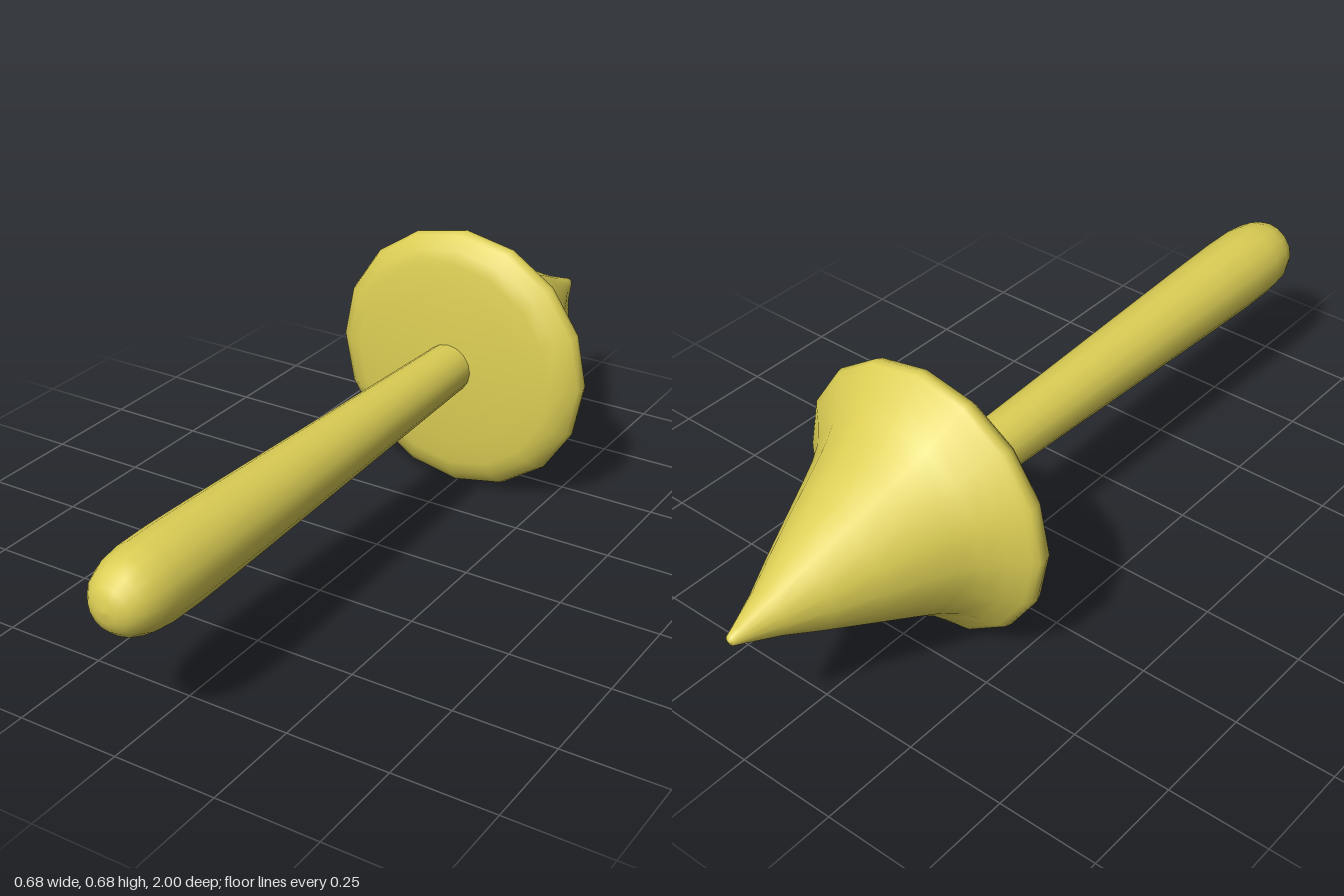
import * as THREE from 'three';

const SIDES = 16;
const AXIS_HEIGHT = 0.345;

// Turns a profile of [radius, z] pairs (z ascending) around the z axis
function turned(name, profile, material) {
  const geometry = new THREE.LatheGeometry(profile.map(([r, z]) => new THREE.Vector2(r, z)), SIDES);
  geometry.rotateX(Math.PI / 2);
  const mesh = new THREE.Mesh(geometry, material);
  mesh.name = name;
  mesh.position.y = AXIS_HEIGHT;
  return mesh;
}

export function createModel() {
  const group = new THREE.Group();
  group.name = 'mushroomPeg';
  const material = new THREE.MeshStandardMaterial({ color: 0xddcf55 });

  // Pointed cap: rounded tip, concave flank, flared rim, slightly domed underside
  const cap = [
    [0, -1], [0.012, -0.995], [0.022, -0.97], [0.055, -0.89], [0.1, -0.8], [0.15, -0.695],
    [0.195, -0.6], [0.222, -0.545], [0.25, -0.5], [0.29, -0.46], [0.325, -0.43], [0.338, -0.418],
    [0.342, -0.402], [0.335, -0.383], [0.305, -0.358], [0.27, -0.348], [0.2, -0.34], [0.1, -0.333], [0, -0.331],
  ];
  group.add(turned('pointedCap', cap, material));

  // Stem: widens toward its rounded end
  const stem = [
    [0, -0.4], [0.062, -0.4], [0.063, -0.33], [0.073, 0], [0.084, 0.35], [0.093, 0.65], [0.096, 0.78],
    [0.095, 0.87], [0.088, 0.925], [0.073, 0.963], [0.051, 0.987], [0.026, 0.997], [0, 1],
  ];
  group.add(turned('stem', stem, material));

  return group;
}
